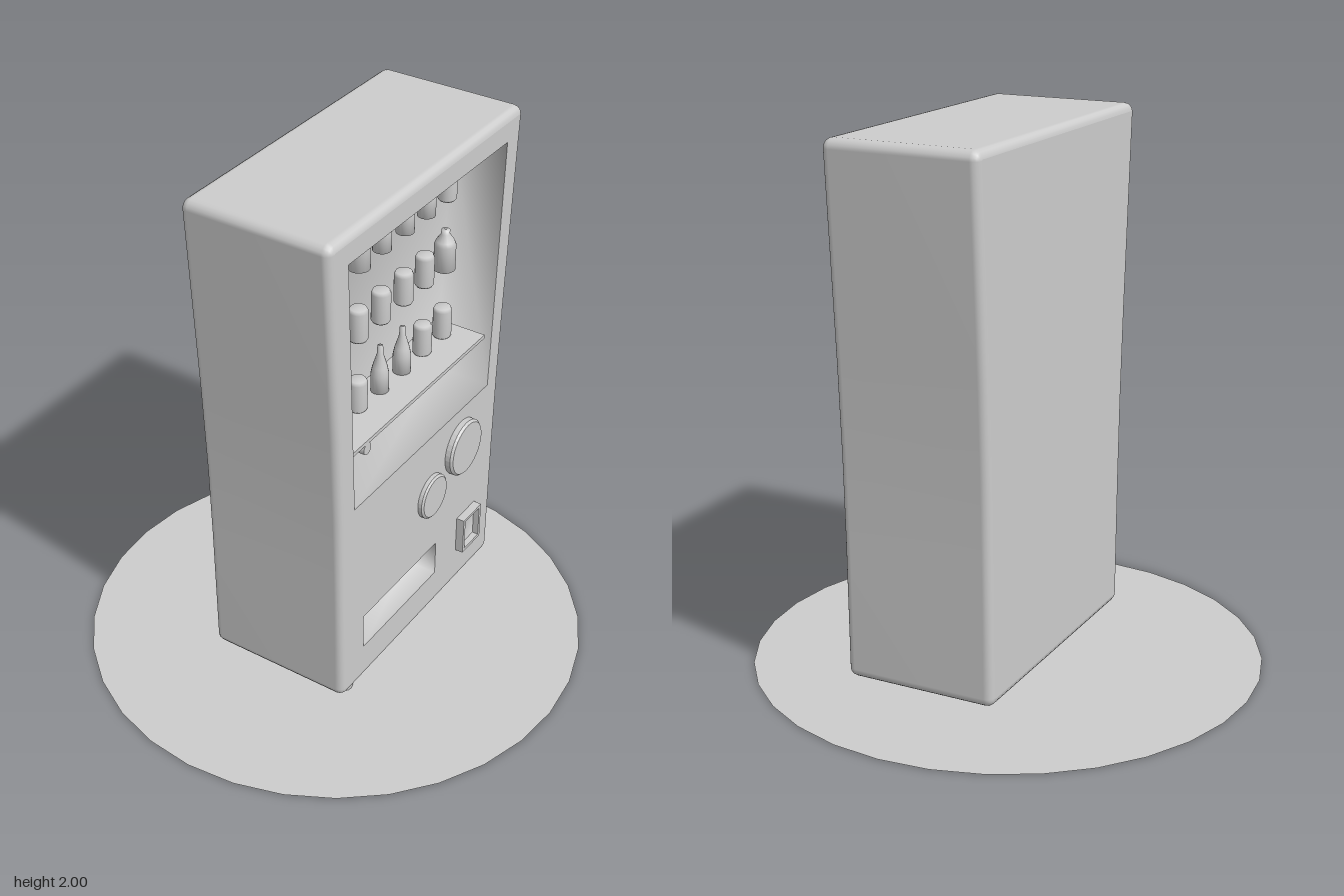
import * as THREE from 'three';

const grey = new THREE.MeshStandardMaterial({ color: 0xcccccc, side: THREE.DoubleSide });
grey.name = 'lightGrey';

const FRONT = 0.32, BACK = -0.25, MID = 0.0875, BEVEL = 0.03;

function add(parent, name, geometry, x = 0, y = 0, z = 0) {
  const mesh = new THREE.Mesh(geometry, grey);
  mesh.name = name;
  mesh.position.set(x, y, z);
  parent.add(mesh);
  return mesh;
}

// Rounded cabinet outline, flaring towards the top
function outline(inset) {
  const r = BEVEL + 0.005 - inset, pts = [];
  const corner = (x, y, start) => {
    for (let i = 0; i <= 4; i++) {
      const a = start + (i / 4) * Math.PI / 2;
      pts.push(new THREE.Vector2(x + r * Math.cos(a), y + r * Math.sin(a)));
    }
  };
  const c = BEVEL + 0.005, right = [[0.535, 0.6], [0.543, 0.9], [0.56, 1.25]];
  corner(MID + 0.528 - c, 0.085 + c, -Math.PI / 2);
  right.forEach(([w, y]) => pts.push(new THREE.Vector2(MID + w - inset, y)));
  corner(MID + 0.605 - c, 2 - c, 0);
  corner(MID - 0.605 + c, 2 - c, Math.PI / 2);
  [...right].reverse().forEach(([w, y]) => pts.push(new THREE.Vector2(MID - w + inset, y)));
  corner(MID - 0.528 + c, 0.085 + c, Math.PI);
  return pts;
}

// Rounded side shell lofted from back to front
function shellGeometry() {
  const rings = [];
  for (let i = 0; i <= 4; i++) {
    const a = (i / 4) * Math.PI / 2;
    rings.push([BEVEL * (1 - Math.sin(a)), BACK + BEVEL * (1 - Math.cos(a))]);
  }
  [...rings].reverse().forEach(([inset, z]) => rings.push([inset, FRONT + BACK - z]));
  const pos = [], idx = [];
  let n = 0;
  rings.forEach(([inset, z]) => {
    const pts = outline(inset);
    n = pts.length;
    pts.forEach(p => pos.push(p.x, p.y, z));
  });
  for (let k = 0; k < rings.length - 1; k++) {
    for (let i = 0; i < n; i++) {
      const a = k * n + i, b = k * n + (i + 1) % n;
      idx.push(a, b, b + n, a, b + n, a + n);
    }
  }
  return indexed(pos, idx);
}

function indexed(pos, idx) {
  const g = new THREE.BufferGeometry();
  g.setAttribute('position', new THREE.Float32BufferAttribute(pos, 3));
  g.setIndex(idx);
  g.computeVertexNormals();
  return g;
}

// Softly shaded pocket behind a four-cornered opening
function recessGeometry(corners, front, back) {
  const pos = [], idx = [4, 5, 6, 4, 6, 7];
  [front, back].forEach(z => corners.forEach(([x, y]) => pos.push(x, y, z)));
  for (let i = 0; i < 4; i++) {
    const j = (i + 1) % 4;
    idx.push(i, j, j + 4, i, j + 4, i + 4);
  }
  return indexed(pos, idx);
}

function shapeWithHoles(points, holes) {
  const shape = new THREE.Shape(points);
  holes.forEach(h => shape.holes.push(new THREE.Path(h.map(([x, y]) => new THREE.Vector2(x, y)))));
  return shape;
}

const rect = (x0, y0, x1, y1) => [[x0, y0], [x1, y0], [x1, y1], [x0, y1]];
const lathe = (pts, segments) =>
  new THREE.LatheGeometry(pts.map(([r, y]) => new THREE.Vector2(r, y)), segments);

export function createModel() {
  const model = new THREE.Group();
  model.name = 'vendingMachine';

  // Ground disc
  add(model, 'groundDisc', new THREE.CircleGeometry(0.945, 32).rotateX(-Math.PI / 2));

  // Machine is built facing +z, then turned to face +x
  const machine = new THREE.Group();
  machine.name = 'machine';
  machine.rotation.y = Math.PI / 2;
  model.add(machine);

  // Cabinet with window and delivery slot
  const windowHole = [[-0.365, 0.91], [0.54, 0.91], [0.585, 1.895], [-0.41, 1.895]];
  const slotHole = rect(-0.3, 0.235, 0.2, 0.38);
  add(machine, 'cabinetShell', shellGeometry());
  add(machine, 'cabinetFront',
    new THREE.ShapeGeometry(shapeWithHoles(outline(BEVEL), [windowHole, slotHole])), 0, 0, FRONT);
  add(machine, 'cabinetBack',
    new THREE.ShapeGeometry(new THREE.Shape(outline(BEVEL))).rotateY(Math.PI).translate(2 * MID, 0, 0), 0, 0, BACK);
  add(machine, 'displayRecess', recessGeometry(windowHole, FRONT, 0.1));
  add(machine, 'deliverySlot', recessGeometry(slotHole, FRONT, 0.2));

  // Shelf with sloping front underside, and its knob
  const profile = [[0.1, 1.135], [0.305, 1.135], [0.305, 1.12], [0.25, 1.065], [0.1, 1.065]];
  const shelfShape = new THREE.Shape(profile.map(([z, y]) => new THREE.Vector2(-z, y)));
  add(machine, 'shelf',
    new THREE.ExtrudeGeometry(shelfShape, { depth: 0.88, bevelEnabled: false }).rotateY(Math.PI / 2), -0.355);
  add(machine, 'shelfKnob', new THREE.CylinderGeometry(0.023, 0.023, 0.05, 16).rotateX(Math.PI / 2),
    -0.265, 1.1, 0.28);

  // Drinks
  const drinks = {
    can: lathe([[0, 0], [0.03, 0], [0.035, 0.008], [0.035, 0.112], [0.029, 0.125], [0, 0.125]], 16),
    tall: lathe([[0, 0], [0.033, 0], [0.033, 0.07], [0.027, 0.1], [0.012, 0.15], [0.01, 0.185], [0, 0.185]], 16),
    short: lathe([[0, 0], [0.04, 0], [0.04, 0.1], [0.034, 0.115], [0.016, 0.142], [0.016, 0.158], [0, 0.158]], 16)
  };
  const columns = [-0.263, -0.128, 0.013, 0.158, 0.297, 0.435];
  const rows = [
    [1.70, ['short', 'short', 'tall', 'tall', 'tall', 'can']],
    [1.42, ['tall', 'can', 'can', 'can', 'can', 'short']],
    [1.135, ['can', 'can', 'tall', 'tall', 'can', 'can']]
  ];
  rows.forEach(([y, kinds]) => kinds.forEach((kind, i) =>
    add(machine, kind === 'can' ? 'can' : kind + 'Bottle', drinks[kind], columns[i], y, 0.175)));

  // Round dials
  for (const [name, x, y, r, d] of [['largeDial', 0.355, 0.742, 0.112, 0.03], ['smallDial', 0.145, 0.645, 0.088, 0.022]]) {
    const g = lathe([[r, 0], [r, d * 0.7], [r - 0.008, d], [0, d]], 32).toNonIndexed();
    g.computeVertexNormals();
    add(machine, name, g.rotateX(Math.PI / 2), x, y, FRONT);
  }

  // Coin return: raised frame around a shallow pocket
  const frame = rect(0.355, 0.24, 0.485, 0.395), pocket = rect(0.368, 0.253, 0.472, 0.384);
  const frameShape = shapeWithHoles(frame.map(([x, y]) => new THREE.Vector2(x, y)), [pocket]);
  add(machine, 'coinReturnFrame',
    new THREE.ExtrudeGeometry(frameShape, { depth: 0.032, bevelEnabled: false }), 0, 0, FRONT);
  add(machine, 'coinReturnPocket', recessGeometry(pocket, FRONT + 0.032, FRONT + 0.008));

  // Single visible foot
  add(machine, 'foot', new THREE.CylinderGeometry(0.045, 0.033, 0.09, 16), -0.3, 0.045, 0.235);

  return model;
}
